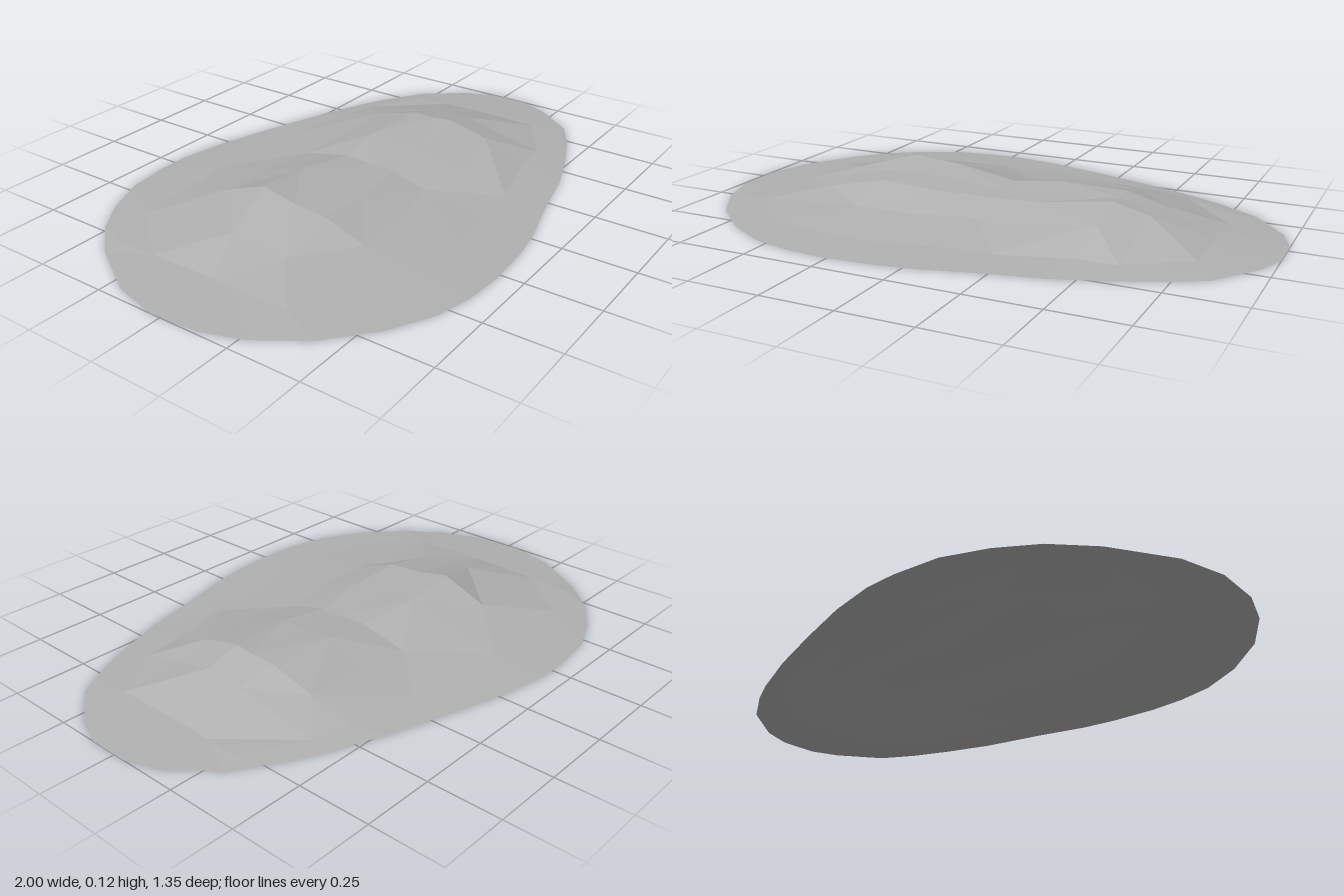
import * as THREE from 'three';

// Cross-sections of the mound from right to left: x, then [z, y] from back foot to front foot
const sections = [
  { x: -0.78, p: [[-0.40, 0.008], [-0.25, 0.012], [-0.11, 0.016], [0.00, 0.016], [0.10, 0.015], [0.28, 0.012], [0.36, 0.006]] },
  { x: -0.60, p: [[-0.46, 0.012], [-0.30, 0.030], [-0.08, 0.065], [0.00, 0.052], [0.13, 0.044], [0.27, 0.022], [0.46, 0.006]] },
  { x: -0.39, p: [[-0.48, 0.013], [-0.30, 0.058], [-0.13, 0.122], [0.00, 0.097], [0.12, 0.088], [0.27, 0.035], [0.49, 0.008]] },
  { x: -0.19, p: [[-0.49, 0.013], [-0.30, 0.052], [-0.14, 0.100], [-0.02, 0.086], [0.12, 0.079], [0.27, 0.035], [0.50, 0.008]] },
  { x: 0.03, p: [[-0.49, 0.012], [-0.28, 0.040], [-0.10, 0.079], [0.00, 0.073], [0.09, 0.071], [0.22, 0.038], [0.45, 0.008]] },
  { x: 0.20, p: [[-0.46, 0.012], [-0.27, 0.045], [-0.11, 0.099], [0.00, 0.089], [0.11, 0.083], [0.28, 0.040], [0.44, 0.008]] },
  { x: 0.45, p: [[-0.42, 0.012], [-0.26, 0.055], [-0.09, 0.100], [0.00, 0.101], [0.07, 0.107], [0.22, 0.073], [0.38, 0.012]] },
  { x: 0.58, p: [[-0.38, 0.010], [-0.22, 0.040], [-0.08, 0.068], [0.00, 0.071], [0.07, 0.075], [0.20, 0.045], [0.37, 0.010]] },
  { x: 0.78, p: [[-0.27, 0.008], [-0.15, 0.011], [-0.05, 0.015], [0.02, 0.015], [0.10, 0.015], [0.24, 0.012], [0.32, 0.006]] },
];

// Ground outline [x, z]: back edge from right to left, then front edge back again
const outline = [
  [-1, -0.04], [-0.96, -0.20], [-0.84, -0.40], [-0.73, -0.52], [-0.61, -0.60], [-0.47, -0.66], [-0.31, -0.68], [-0.20, -0.68],
  [-0.03, -0.65], [0.18, -0.59], [0.40, -0.52], [0.60, -0.44], [0.70, -0.39], [0.84, -0.30], [0.96, -0.15], [1, -0.04],
  [1, 0.10], [0.96, 0.20], [0.85, 0.35], [0.73, 0.42], [0.59, 0.48], [0.42, 0.54], [0.20, 0.59], [0.02, 0.64],
  [-0.11, 0.66], [-0.28, 0.67], [-0.41, 0.66], [-0.54, 0.63], [-0.69, 0.55], [-0.84, 0.42], [-0.94, 0.27], [-0.99, 0.13],
];

function moundGeometry() {
  const verts = [], index = [];
  const cols = sections.length, rows = sections[0].p.length;
  for (const { x, p } of sections) for (const [z, y] of p) verts.push([x, y, z]);
  const at = (c, r) => c * rows + r;

  // Facets of the raised middle, with alternating diagonals
  for (let c = 0; c < cols - 1; c++) {
    for (let r = 0; r < rows - 1; r++) {
      const a = at(c, r), b = at(c, r + 1), d = at(c + 1, r), e = at(c + 1, r + 1);
      if ((c + r) % 2) index.push(a, b, e, a, e, d);
      else index.push(a, b, d, b, e, d);
    }
  }

  // Boundary loop of the middle, in the same direction as the outline
  const inner = [];
  for (let c = 0; c < cols; c++) inner.push(at(c, 0));
  for (let r = 1; r < rows; r++) inner.push(at(cols - 1, r));
  for (let c = cols - 2; c >= 0; c--) inner.push(at(c, rows - 1));
  for (let r = rows - 2; r > 0; r--) inner.push(at(0, r));
  // Start the loop beside the first outline point
  const first = inner.indexOf(at(0, 3));
  const loop = [...inner.slice(first), ...inner.slice(0, first)];
  const outer = outline.map(([x, z]) => verts.push([x, 0, z]) - 1);

  // Thin skirt: advance whichever loop gives the shorter connecting edge
  const n = loop.length, m = outer.length;
  const gap = (a, b) => Math.hypot(verts[a][0] - verts[b][0], verts[a][2] - verts[b][2]);
  let i = 0, j = 0;
  while (i < n || j < m) {
    const a = loop[i % n], b = outer[j % m];
    const a2 = loop[(i + 1) % n], b2 = outer[(j + 1) % m];
    if (j >= m || (i < n && gap(a2, b) < gap(a, b2))) {
      index.push(a, a2, b);
      i++;
    } else {
      index.push(a, b2, b);
      j++;
    }
  }

  const geometry = new THREE.BufferGeometry();
  geometry.setAttribute('position', new THREE.Float32BufferAttribute(verts.flat(), 3));
  geometry.setIndex(index);
  const faceted = geometry.toNonIndexed();
  faceted.computeVertexNormals();
  return faceted;
}

export function createModel() {
  const group = new THREE.Group();
  group.name = 'lowMound';
  const stone = new THREE.MeshStandardMaterial({ color: 0xb0b0b0, flatShading: true, side: THREE.DoubleSide });
  stone.name = 'stone grey';
  const mound = new THREE.Mesh(moundGeometry(), stone);
  mound.name = 'moundSurface';
  group.add(mound);
  return group;
}
